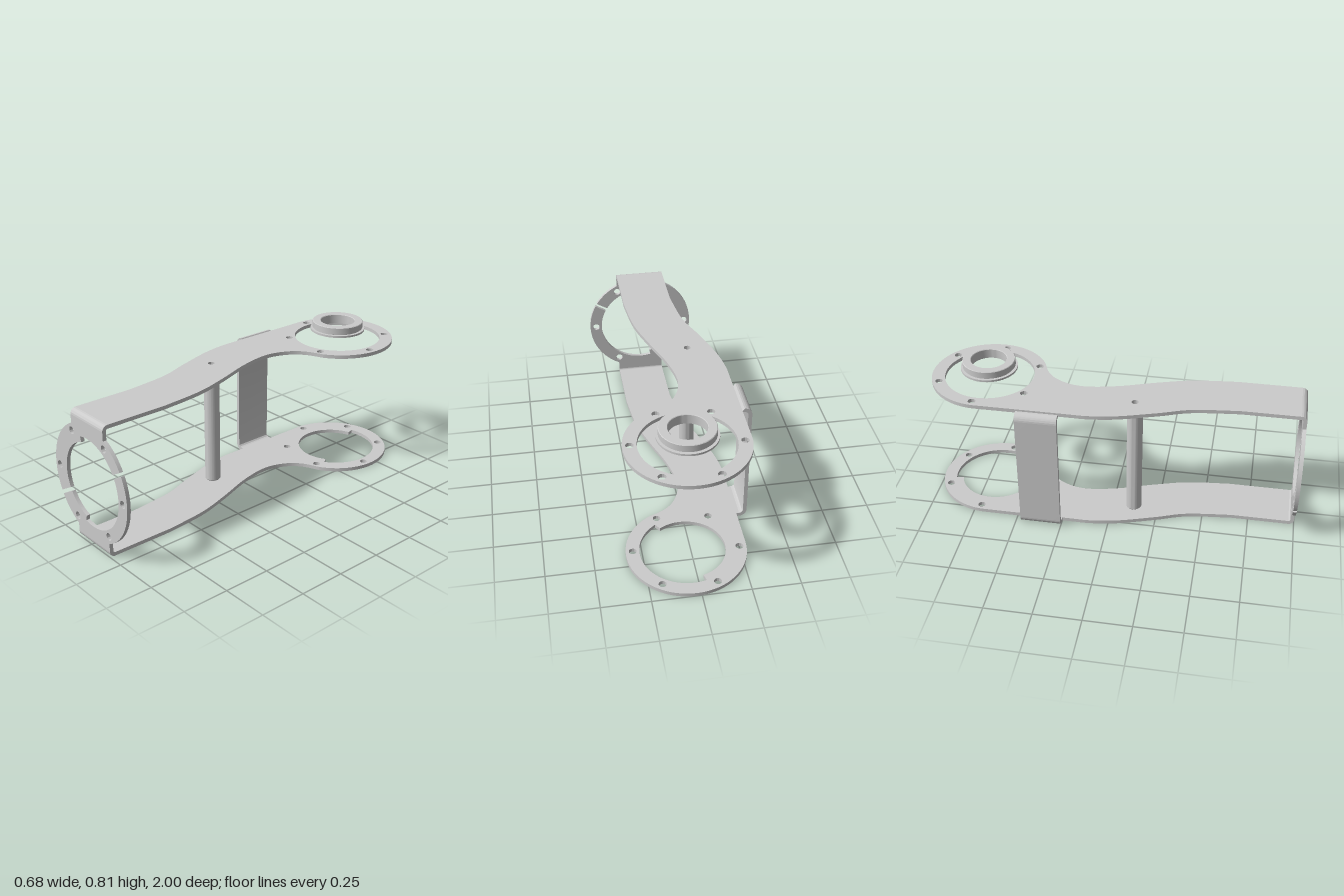
import * as THREE from 'three';
import { toCreasedNormals } from 'three/addons/utils/BufferGeometryUtils.js';

const material = new THREE.MeshStandardMaterial({ color: 0xcccccc });
const rad = THREE.MathUtils.degToRad;
const T = 0.02;                 // sheet thickness
const H = 0.71;                 // height of the folded frame
const CX = 0.025, CZ = -0.69;   // axis of the rear rings
const R = 0.31, R_IN = 0.24, R_BOLT = 0.274;
const X0 = -0.11, X1 = 0.163;   // sides of the front tabs
const POST = { x: -0.117, z: 0.12 };

function mesh(name, geometry) {
  const m = new THREE.Mesh(geometry, material);
  m.name = name;
  return m;
}

function extrude(shape, depth) {
  const g = new THREE.ExtrudeGeometry(shape, { depth, bevelEnabled: false, curveSegments: 40 });
  return toCreasedNormals(g, 0.5);
}

function addHole(shape, x, y, r) {
  shape.holes.push(new THREE.Path().absarc(x, y, r, 0, Math.PI * 2, true));
}

function addBoltHole(shape, cx, cy, degrees) {
  const a = rad(degrees);
  addHole(shape, cx + R_BOLT * Math.cos(a), cy + R_BOLT * Math.sin(a), 0.02);
}

// Curved arm with a ring at the rear; drawn with shape y = -z
function armPlate(name, y, stepped) {
  const s = new THREE.Shape();
  const spline = (pts) => s.splineThru(pts.map(([x, v]) => new THREE.Vector2(x, v)));
  s.moveTo(X1, -0.97);
  s.lineTo(X1, -0.63);
  spline([[0.138, -0.4], [0.085, -0.21], [0.02, -0.02], [-0.012, 0.13], [-0.008, 0.23],
    [0.03, 0.32], [0.09, 0.38], [CX + R * Math.cos(rad(-60)), -CZ + R * Math.sin(rad(-60))]]);
  s.absarc(CX, -CZ, R, rad(-60), Math.PI, false);
  s.lineTo(CX - R, 0.18);
  spline([[-0.283, 0.09], [-0.26, -0.05], [-0.198, -0.25], [-0.14, -0.42], [X0, -0.66]]);
  s.lineTo(X0, -0.97);

  if (stepped) {
    const hole = new THREE.Path();
    hole.absarc(CX, -CZ, 0.202, rad(303), rad(105), true);
    hole.absarc(CX, -CZ, R_IN, rad(105), rad(-57), true);
    hole.closePath();
    s.holes.push(hole);
  } else addHole(s, CX, -CZ, R_IN);
  for (let i = 0; i < 6; i++) addBoltHole(s, CX, -CZ, -5 + i * 60);
  addHole(s, POST.x, -POST.z, 0.018);

  const m = mesh(name, extrude(s, T).rotateX(-Math.PI / 2));
  m.position.y = y;
  return m;
}

// Half of the split front ring with its tab; start is the angle of its first gap
function frontRingHalf(name, start, stepAngle, upper) {
  const end = start + 180;
  const gap = (r) => Math.asin(0.01 / r);
  const w0 = X0 - CX, w1 = X1 - CX, tab = 0.325;
  const a0 = Math.acos(w1 / R), a1 = Math.acos(w0 / R);
  const rFirst = upper ? R_IN : 0.21, rLast = upper ? 0.21 : R_IN;
  const s = new THREE.Shape();
  if (upper) {
    s.absarc(0, 0, R, rad(start) + gap(R), a0, false);
    s.lineTo(w1, tab);
    s.lineTo(w0, tab);
    s.absarc(0, 0, R, a1, rad(end) - gap(R), false);
  } else {
    s.absarc(0, 0, R, rad(start) + gap(R), Math.PI * 2 - a1, false);
    s.lineTo(w0, -tab);
    s.lineTo(w1, -tab);
    s.absarc(0, 0, R, Math.PI * 2 - a0, rad(end) - gap(R), false);
  }
  s.absarc(0, 0, rLast, rad(end) - gap(rLast), rad(stepAngle), true);
  s.absarc(0, 0, rFirst, rad(stepAngle), rad(start) + gap(rFirst), true);
  s.closePath();
  for (let i = 1; i <= 3; i++) addBoltHole(s, 0, 0, start - 30 + i * 60);
  const m = mesh(name, extrude(s, T));
  m.position.set(CX, H / 2, 1 - T);
  return m;
}

// Quarter bend between an arm and the front ring
function frontBend(name, y, from) {
  const s = new THREE.Shape();
  s.absarc(0.97, y, 0.03, from, from + Math.PI / 2, false);
  s.absarc(0.97, y, 0.01, from + Math.PI / 2, from, true);
  s.closePath();
  return mesh(name, extrude(s, X1 - X0).rotateY(-Math.PI / 2).translate(X1, 0, 0));
}

// C-shaped strap joining the two arms at the side
function sideStrap() {
  const s = new THREE.Shape(), x = CX - R, o = 0.04, i = 0.02, c = -0.3, q = Math.PI / 2;
  s.moveTo(x, H);
  s.absarc(c, H - o, o, q, Math.PI, false);
  s.absarc(c, o, o, Math.PI, 3 * q, false);
  s.lineTo(x, 0);
  s.lineTo(x, T);
  s.absarc(c, o, i, 3 * q, Math.PI, true);
  s.absarc(c, H - o, i, Math.PI, q, true);
  s.lineTo(x, H - T);
  s.closePath();
  const m = mesh('sideStrap', extrude(s, 0.22));
  m.position.z = -0.47;
  return m;
}

function lathe(name, points) {
  const g = new THREE.LatheGeometry(points.map(([x, y]) => new THREE.Vector2(x, y)), 64);
  return mesh(name, toCreasedNormals(g, 0.5));
}

export function createModel() {
  const model = new THREE.Group();
  model.name = 'armBracket';
  model.add(
    armPlate('lowerArm', 0, true),
    armPlate('upperArm', H - T, false),
    frontRingHalf('upperFrontRing', 30, 105, true),
    frontRingHalf('lowerFrontRing', 210, 255, false),
    frontBend('upperFrontBend', H - 0.03, 0),
    frontBend('lowerFrontBend', 0.03, -Math.PI / 2),
    sideStrap(),
  );

  // Spacer post with a screw hole in each end
  const post = lathe('spacerPost', [[0, 0.12], [0.018, 0.12], [0.018, T], [0.037, T], [0.042, T + 0.006],
    [0.042, H - T - 0.006], [0.037, H - T], [0.018, H - T], [0.018, H - 0.12], [0, H - 0.12]]);
  post.position.set(POST.x, 0, POST.z);

  // Flanged collar floating above the rear ring
  const collar = lathe('flangedCollar', [[0.095, 0.752], [0.152, 0.752], [0.152, 0.763], [0.136, 0.763],
    [0.136, 0.767], [0.141, 0.769], [0.141, 0.802], [0.138, 0.805], [0.098, 0.805], [0.095, 0.802],
    [0.095, 0.752]]);
  collar.position.set(CX, 0, CZ);
  model.add(post, collar);
  return model;
}
